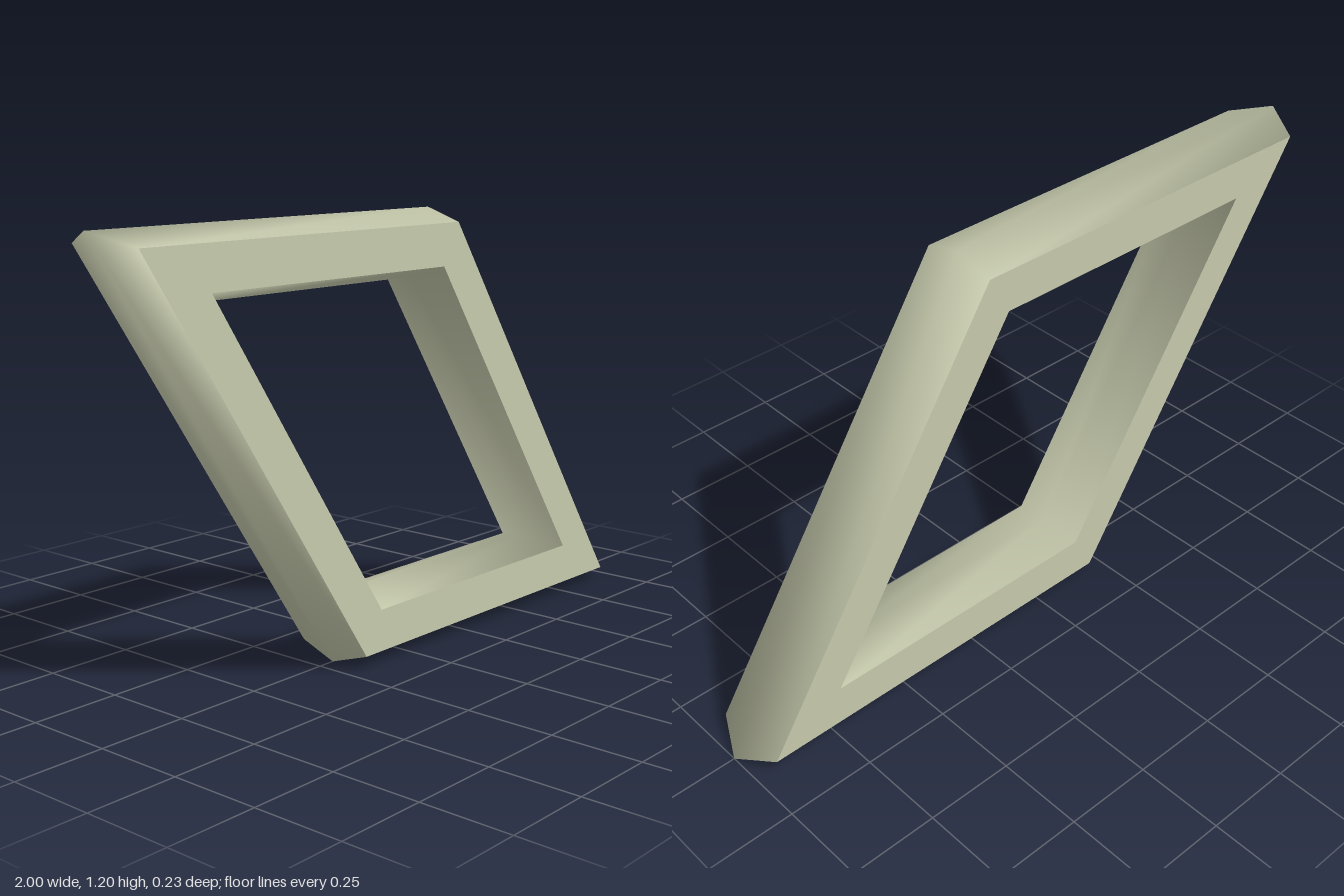
import * as THREE from 'three';

const CENTER_Y = 0.601, SLANT = 0.666, DEPTH = 0.114;

// One slanted four-cornered loop, counter-clockwise from the front.
function ring(halfWidth, halfHeight, z) {
  return [[1, -1], [1, 1], [-1, 1], [-1, -1]].map(([sx, sy]) => {
    const y = sy * halfHeight;
    return [sx * halfWidth - SLANT * y, y + CENTER_Y, z];
  });
}

// Band joining consecutive rings; vertices are shared so it shades smoothly.
function band(name, rings, material) {
  const index = [];
  for (let r = 0; r < rings.length - 1; r++) {
    for (let i = 0; i < 4; i++) {
      const j = (i + 1) % 4;
      const a = r * 4 + i, b = r * 4 + j, c = a + 4, d = b + 4;
      index.push(a, b, d, a, d, c);
    }
  }
  const geometry = new THREE.BufferGeometry();
  geometry.setAttribute('position', new THREE.Float32BufferAttribute(rings.flat(2), 3));
  geometry.setIndex(index);
  geometry.computeVertexNormals();
  const mesh = new THREE.Mesh(geometry, material);
  mesh.name = name;
  return mesh;
}

export function createModel() {
  const material = new THREE.MeshStandardMaterial({ color: 0xc5c9ab });
  const group = new THREE.Group();
  group.name = 'slantedFrame';

  // Six-sided section of the frame bar
  const outerBack = ring(0.567, 0.565, -DEPTH);
  const outerRidge = ring(0.6, 0.601, 0);
  const outerFront = ring(0.567, 0.565, DEPTH);
  const innerFront = ring(0.428, 0.449, DEPTH);
  const innerRidge = ring(0.394, 0.414, 0);
  const innerBack = ring(0.428, 0.449, -DEPTH);

  group.add(
    band('outerWall', [outerBack, outerRidge, outerFront], material),
    band('frontFace', [outerFront, innerFront], material),
    band('innerWall', [innerFront, innerRidge, innerBack], material),
    band('backFace', [innerBack, outerBack], material)
  );
  return group;
}
